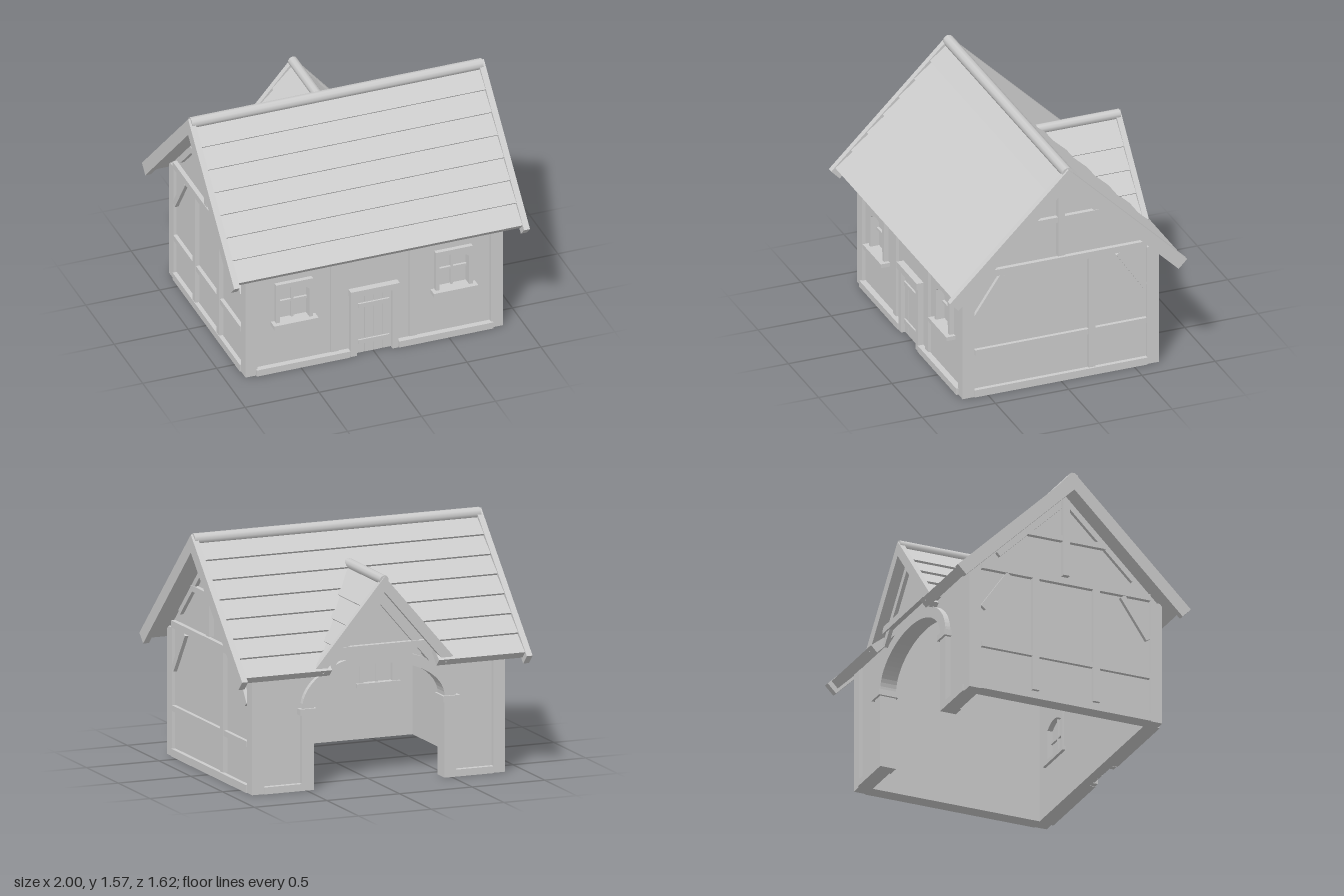
import * as THREE from 'three';

const stone = new THREE.MeshStandardMaterial({ color: 0xcccccc });
stone.name = 'light grey';

export function createModel() {
  const house = new THREE.Group();
  house.name = 'house';

  function add(name, geometry) {
    const mesh = new THREE.Mesh(geometry, stone);
    mesh.name = name;
    house.add(mesh);
    return mesh;
  }
  // box given by its limits on each axis
  function box(name, x0, x1, y0, y1, z0, z1) {
    const g = new THREE.BoxGeometry(Math.abs(x1 - x0), y1 - y0, Math.abs(z1 - z0));
    g.translate((x0 + x1) / 2, (y0 + y1) / 2, (z0 + z1) / 2);
    return add(name, g);
  }
  const poly = (pts) => new THREE.Shape(pts.map(([a, b]) => new THREE.Vector2(a, b)));
  // (x, y) outline extruded from z0 to z1
  function prismZ(shape, z0, z1) {
    const g = new THREE.ExtrudeGeometry(shape, { depth: z1 - z0, bevelEnabled: false, curveSegments: 16 });
    return g.translate(0, 0, z0);
  }
  // (z, y) outline extruded from x0 to x1
  function prismX(shape, x0, x1) {
    const g = new THREE.ExtrudeGeometry(shape, { depth: x1 - x0, bevelEnabled: false });
    return g.rotateY(-Math.PI / 2).translate(x1, 0, 0);
  }
  // straight bar outline between two points
  function bar(a0, b0, a1, b1, w) {
    const l = Math.hypot(a1 - a0, b1 - b0) * 2 / w;
    const u = -(b1 - b0) / l, v = (a1 - a0) / l;
    return poly([[a0 + u, b0 + v], [a0 - u, b0 - v], [a1 - u, b1 - v], [a1 + u, b1 + v]]);
  }
  // point on a roof slope: d down the slope, h out from it
  const slopePoint = (top, run, drop) => (s, d, h) =>
    [s * (run * d + drop * h), top - drop * d + run * h];
  const main = slopePoint(1.56, 0.714, 0.70);
  const dorm = slopePoint(1.355, 0.65, 0.76);

  // front wall with two arched window openings
  const front = poly([[-0.85, 0], [0.85, 0], [0.85, 0.85], [-0.85, 0.85]]);
  for (const s of [-1, 1]) {
    const c = s * 0.54, hole = new THREE.Path();
    hole.moveTo(c - 0.105, 0.36);
    hole.lineTo(c + 0.105, 0.36);
    hole.lineTo(c + 0.105, 0.57);
    hole.quadraticCurveTo(c, 0.65, c - 0.105, 0.57);
    hole.closePath();
    front.holes.push(hole);
  }
  add('frontWall', prismZ(front, 0.58, 0.645));

  // back wall with the wide archway
  const back = new THREE.Shape();
  back.moveTo(-0.85, 0);
  back.lineTo(-0.48, 0);
  back.lineTo(-0.48, 0.53);
  back.absellipse(0, 0.53, 0.48, 0.28, Math.PI, 0, true);
  back.lineTo(0.48, 0);
  back.lineTo(0.85, 0);
  back.lineTo(0.85, 0.85);
  back.lineTo(-0.85, 0.85);
  add('backWall', prismZ(back, -0.645, -0.58));

  // arch ring, piers and capitals
  const ring = new THREE.Shape();
  ring.absellipse(0, 0.53, 0.53, 0.32, 0, Math.PI, false);
  ring.lineTo(-0.45, 0.53);
  ring.absellipse(0, 0.53, 0.45, 0.25, Math.PI, 0, true);
  add('archRing', prismZ(ring, -0.68, -0.57));
  for (const s of [-1, 1]) {
    box('archPier', s * 0.45, s * 0.53, 0, 0.5, -0.68, -0.57);
    box('archCapital', s * 0.435, s * 0.55, 0.49, 0.53, -0.695, -0.56);
    box('backSill', s * 0.53, s * 0.79, 0, 0.045, -0.68, -0.62);
    box('frontSill', s * 0.165, s * 0.8, 0, 0.045, 0.62, 0.685);
    box('frontPost', s * 0.24, s * 0.29, 0.055, 0.8, 0.62, 0.665);
    for (const t of [-1, 1]) box('cornerPost', s * 0.79, s * 0.87, 0, 0.83, t * 0.59, t * 0.67);
  }

  // gable walls and their timber framing
  for (const s of [-1, 1]) {
    const lo = s > 0 ? 0.78 : -0.85, f0 = s > 0 ? 0.83 : -0.875, f1 = f0 + 0.045;
    const wall = poly([[-0.645, 0], [0.645, 0], [0.645, 0.85], [0, 1.48], [-0.645, 0.85]]);
    add('gableWall', prismX(wall, lo, lo + 0.07));
    box('gableSill', s * 0.83, s * 0.878, 0, 0.05, -0.59, 0.59);
    box('gableRail', s * 0.83, s * 0.875, 0.295, 0.332, -0.585, 0.585);
    box('gableTie', s * 0.83, s * 0.88, 0.835, 0.88, -0.585, 0.585);
    box('gableCollar', s * 0.83, s * 0.88, 1.132, 1.17, -0.275, 0.275);
    box('kingPost', s * 0.83, s * 0.885, 0.895, 1.42, -0.023, 0.023);
    for (const z of s > 0 ? [-0.21] : [-0.21, 0.21])
      box('gableStud', s * 0.83, s * 0.88, 0.06, 0.835, z - 0.023, z + 0.023);
    for (const t of [-1, 1]) {
      add('cornerBrace', prismX(bar(t * 0.575, 0.565, t * 0.395, 0.83, 0.04), f0, f1));
      add('rakeBrace', prismX(bar(t * 0.47, 0.955, t * 0.04, 1.375, 0.035), f0, f1));
    }
  }

  // windows: jambs, arched head, sill, pane and glazing bars
  for (const s of [-1, 1]) {
    const c = s * 0.54;
    for (const t of [-1, 1]) box('windowJamb', c + t * 0.1, c + t * 0.125, 0.36, 0.57, 0.57, 0.675);
    const head = new THREE.Shape();
    head.moveTo(c - 0.125, 0.57);
    head.lineTo(c - 0.1, 0.57);
    head.quadraticCurveTo(c, 0.65, c + 0.1, 0.57);
    head.lineTo(c + 0.125, 0.57);
    head.lineTo(c + 0.125, 0.64);
    head.lineTo(c - 0.125, 0.64);
    add('windowHead', prismZ(head, 0.57, 0.675));
    box('windowSill', c - 0.15, c + 0.15, 0.333, 0.36, 0.56, 0.707);
    box('windowPane', c - 0.11, c + 0.11, 0.355, 0.615, 0.605, 0.615);
    box('glazingBar', c - 0.008, c + 0.008, 0.36, 0.61, 0.592, 0.632);
    box('glazingBar', c - 0.1, c + 0.1, 0.475, 0.491, 0.592, 0.632);
  }

  // plank door with frame and battens
  for (let i = 0; i < 4; i++) {
    const x = -0.12 + i * 0.06;
    box('doorPlank', x + 0.002, x + 0.058, 0.005, 0.44, 0.64, 0.656);
  }
  for (const y of [0.075, 0.343]) box('doorBatten', -0.105, 0.105, y, y + 0.03, 0.65, 0.668);
  for (const s of [-1, 1]) box('doorJamb', s * 0.12, s * 0.16, 0, 0.44, 0.63, 0.68);
  box('doorLintel', -0.165, 0.165, 0.44, 0.485, 0.63, 0.692);

  // main roof: seven overlapping courses per side, cut away below the dormer
  const step = 0.151;
  for (const s of [-1, 1]) {
    for (let i = 0; i < 7; i++) {
      const d1 = 1.1 - i * step, d0 = i === 6 ? 0.01 : d1 - step - 0.005;
      const course = poly([main(s, d0, -0.022), main(s, d1, -0.005), main(s, d1, -0.065), main(s, Math.max(d0, 0.065), -0.065)]);
      const gap = s < 0 ? (1.33 - main(1, d0, 0)[1]) / 1.17 : 0;
      if (gap > 0.02) {
        add('roofCourse', prismX(course, gap, 0.965));
        add('roofCourse', prismX(course, -0.965, -gap));
      } else add('roofCourse', prismX(course, -0.965, 0.965));
    }
    // barge boards at both gables
    const board = poly([[0, 1.56], main(s, 1.134, 0), main(s, 1.134, -0.083), [0, 1.444]]);
    add('bargeBoard', prismX(board, 0.96, 1));
    add('bargeBoard', prismX(board, -1, -0.96));
  }
  add('roofRidge', new THREE.CylinderGeometry(0.037, 0.037, 1.97, 10).rotateZ(Math.PI / 2).translate(0, 1.53, 0));

  // dormer roof: courses trimmed to meet the main slope
  for (const s of [-1, 1]) {
    for (let i = 0; i < 4; i++) {
      const d1 = 0.7 - i * 0.155, d0 = i === 3 ? 0.02 : d1 - 0.16;
      const course = poly([dorm(s, d0, -0.018), dorm(s, d1, -0.003), dorm(s, d1, -0.045), dorm(s, Math.max(d0, 0.05), -0.045)]);
      const g = prismZ(course, -0.74, 0);
      const p = g.attributes.position;
      for (let k = 0; k < p.count; k++)
        if (p.getZ(k) > -0.1) p.setZ(k, Math.max(-0.73, -(1.56 - p.getY(k)) / 0.98 + 0.025));
      g.computeVertexNormals();
      add('dormerCourse', g);
    }
    const board = poly([[0, 1.355], dorm(s, 0.724, 0), dorm(s, 0.724, -0.065), [0, 1.255]]);
    add('dormerBargeBoard', prismZ(board, -0.767, -0.73));
    const [ax, ay] = dorm(s, 0.11, -0.105), [bx, by] = dorm(s, 0.66, -0.105);
    add('dormerRafter', prismZ(bar(ax, ay, bx, by, 0.04), -0.705, -0.65));
  }
  add('dormerGable', prismZ(poly([[-0.41, 0.82], [0.41, 0.82], [0, 1.3]]), -0.68, -0.65));
  box('dormerTie', -0.34, 0.34, 0.865, 0.91, -0.715, -0.65);
  add('dormerRidge', new THREE.CylinderGeometry(0.032, 0.032, 0.57, 10).rotateX(Math.PI / 2).translate(0, 1.33, -0.475));

  return house;
}
